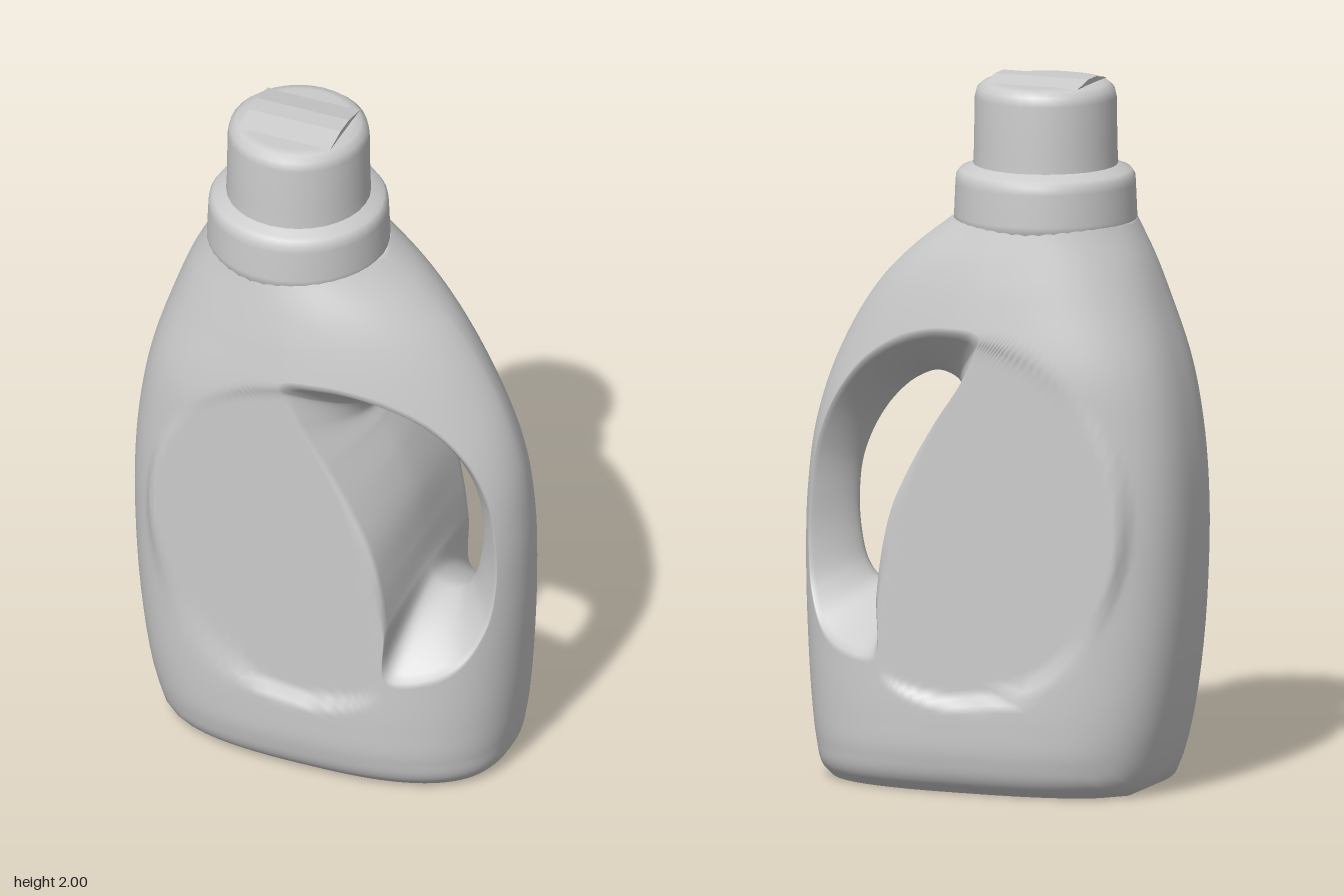
import * as THREE from 'three';
import { mergeVertices } from 'three/addons/utils/BufferGeometryUtils.js';

const NECK_X = -0.125;
const TOP = 1.6;
const CENTRE = [0.32, 0.83]; // middle of the grip opening

// Body sections by height: left x, right x, half depth, left and right roundness
const SECTIONS = [
  [0.0, -0.445, 0.49, 0.26, 2.9, 2.6],
  [0.03, -0.48, 0.515, 0.295, 2.9, 2.6],
  [0.1, -0.505, 0.533, 0.322, 2.9, 2.5],
  [0.2, -0.53, 0.548, 0.331, 2.9, 2.4],
  [0.4, -0.56, 0.565, 0.33, 2.9, 2.3],
  [0.6, -0.575, 0.574, 0.328, 2.9, 2.2],
  [0.8, -0.578, 0.572, 0.328, 2.9, 2.1],
  [1.0, -0.566, 0.549, 0.328, 2.8, 1.9],
  [1.2, -0.532, 0.482, 0.327, 2.6, 1.7],
  [1.4, -0.47, 0.36, 0.298, 2.3, 1.75],
  [1.5, -0.432, 0.26, 0.277, 2.15, 1.9],
  [1.6, -0.382, 0.132, 0.253, 2.0, 2.0],
];
const section = new THREE.CubicInterpolant(
  SECTIONS.map((s) => s[0]), SECTIONS.flatMap((s) => s.slice(1)), 5);

// Matching points round the recess rim (x, y) and the grip opening (x, y)
const GRIP = [
  [0.527, 0.8, 0.437, 0.77], [0.505, 0.935, 0.425, 0.88], [0.45, 1.065, 0.385, 0.98],
  [0.35, 1.185, 0.33, 1.06], [0.21, 1.27, 0.26, 1.12], [0.07, 1.305, 0.19, 1.145],
  [-0.04, 1.29, 0.13, 1.125], [0.0, 1.18, 0.105, 1.085], [0.085, 1.05, 0.13, 1.04],
  [0.16, 0.92, 0.185, 0.95], [0.215, 0.8, 0.235, 0.83], [0.245, 0.68, 0.258, 0.7],
  [0.262, 0.55, 0.272, 0.6], [0.27, 0.385, 0.29, 0.555], [0.37, 0.385, 0.33, 0.535],
  [0.455, 0.43, 0.375, 0.545], [0.51, 0.53, 0.41, 0.59], [0.53, 0.66, 0.43, 0.67],
];
const loop = (k) => new THREE.CatmullRomCurve3(
  GRIP.map((p) => new THREE.Vector3(p[k], p[k + 1], 0)), true, 'centripetal');

const sectionAt = (y) => section.evaluate(THREE.MathUtils.clamp(y, 0, TOP));

function isInside(x, y) {
  const [xl, xr] = sectionAt(y);
  return y > 0 && y < TOP && x > xl && x < xr;
}

// Half depth of the body, with a flat label panel that stands proud at its left end
function depthAt(x, y) {
  const [xl, xr, d, pl, pr] = sectionAt(y);
  const u = (x - (xl + xr) / 2) / ((xr - xl) / 2);
  const p = u < 0 ? pl : pr;
  const z = d * Math.pow(Math.max(0, 1 - Math.pow(Math.abs(u), p)), 1 / p);
  const plane = 0.308 - 0.025 * THREE.MathUtils.smoothstep(-x, 0.2, 0.48);
  const label = x < 0 ? plane : Math.min(z, plane);
  const e = Math.hypot((x - 0.02) / 0.5, (y - 0.775) / 0.525);
  return THREE.MathUtils.lerp(label, z, THREE.MathUtils.smoothstep(e, 0.95, 1.0));
}

// Point where a ray from the grip centre meets the side outline
function outlinePoint(px, py) {
  const dx = px - CENTRE[0], dy = py - CENTRE[1];
  const len = Math.hypot(dx, dy);
  let lo = 0, hi = 3;
  for (let n = 0; n < 45; n++) {
    const mid = (lo + hi) / 2;
    if (isInside(CENTRE[0] + (dx / len) * mid, CENTRE[1] + (dy / len) * mid)) lo = mid;
    else hi = mid;
  }
  return [CENTRE[0] + (dx / len) * hi, CENTRE[1] + (dy / len) * hi];
}

// One closed section loop: opening, recess wall, front, edge or base, back
function raySection(rim, hole) {
  const front = [];
  const WALL = 14, SKIN = 44, EDGE = 10;
  const rimZ = depthAt(rim.x, rim.y);
  for (let j = 0; j < WALL; j++) {
    const t = Math.pow(j / WALL, 1.6);
    front.push([
      THREE.MathUtils.lerp(hole.x, rim.x, t),
      THREE.MathUtils.lerp(hole.y, rim.y, t),
      rimZ * Math.pow(t, 0.65),
    ]);
  }
  const [ox, oy] = outlinePoint(rim.x, rim.y);
  for (let j = 0; j <= SKIN; j++) {
    const t = 1 - Math.pow(1 - j / SKIN, 2.2);
    const x = THREE.MathUtils.lerp(rim.x, ox, t), y = THREE.MathUtils.lerp(rim.y, oy, t);
    front.push([x, y, depthAt(x, y)]);
  }
  const edgeZ = front[front.length - 1][2];
  const edge = [];
  for (let j = 1; j < EDGE; j++) {
    const s = 1 - (2 * j) / EDGE;
    const r = Math.hypot(s, (ox - 0.02) / 0.44);
    const dent = oy < 0.001 ? 0.035 * (1 - THREE.MathUtils.smoothstep(r, 0.5, 0.95)) : 0;
    edge.push([ox, oy + dent, edgeZ * s]);
  }
  const back = front.slice(1).reverse().map(([x, y, z]) => [x, y, -z]);
  return [...front, ...edge, ...back];
}

function bodyGeometry() {
  const N = GRIP.length * 18;
  const rim = loop(0), hole = loop(2);
  const positions = [], index = [];
  let K = 0;
  for (let i = 0; i < N; i++) {
    const ring = raySection(rim.getPoint(i / N), hole.getPoint(i / N));
    K = ring.length;
    positions.push(...ring.flat());
  }
  for (let i = 0; i < N; i++) {
    for (let k = 0; k < K; k++) {
      const a = i * K + k, b = i * K + ((k + 1) % K);
      const d = ((i + 1) % N) * K + k, c = ((i + 1) % N) * K + ((k + 1) % K);
      index.push(a, b, c, a, c, d);
    }
  }
  const geometry = new THREE.BufferGeometry();
  geometry.setAttribute('position', new THREE.Float32BufferAttribute(positions, 3));
  geometry.setIndex(index);
  const welded = mergeVertices(geometry, 1e-4);
  welded.computeVertexNormals();
  return welded;
}

export function createModel() {
  const model = new THREE.Group();
  model.name = 'handledBottle';
  const material = new THREE.MeshStandardMaterial({ color: 0xcccccc });
  const add = (name, geometry, x = 0, y = 0, z = 0) => {
    const mesh = new THREE.Mesh(geometry, material);
    mesh.name = name;
    mesh.position.set(x, y, z);
    model.add(mesh);
  };
  const lathe = (points, sides) => new THREE.LatheGeometry(
    points.map(([r, y]) => new THREE.Vector2(r, y)), sides);

  // Body with recessed grip and label panels
  add('body', bodyGeometry());

  // Collar below the cap
  add('collar', lathe([
    [0.235, 1.56], [0.256, 1.585], [0.256, 1.61], [0.252, 1.7], [0.25, 1.72],
    [0.24, 1.735], [0.225, 1.738], [0.21, 1.75], [0.19, 1.755],
  ], 40), NECK_X);

  // Cap with a softly rounded top edge and a shallow grip ridge
  add('cap', lathe([
    [0.203, 1.735], [0.2, 1.8], [0.198, 1.94], [0.192, 1.965], [0.175, 1.98],
    [0.15, 1.985], [0, 1.985],
  ], 32), NECK_X);
  const ridge = new THREE.Shape();
  ridge.moveTo(-0.11, 0).lineTo(0.11, 0).lineTo(0.03, 0.016).lineTo(-0.03, 0.016);
  const ridgeGeometry = new THREE.ExtrudeGeometry(ridge, { depth: 0.28, bevelEnabled: false });
  ridgeGeometry.translate(0, 0, -0.14).rotateY(Math.PI / 2);
  add('capRidge', ridgeGeometry, NECK_X, 1.984, 0);

  return model;
}
